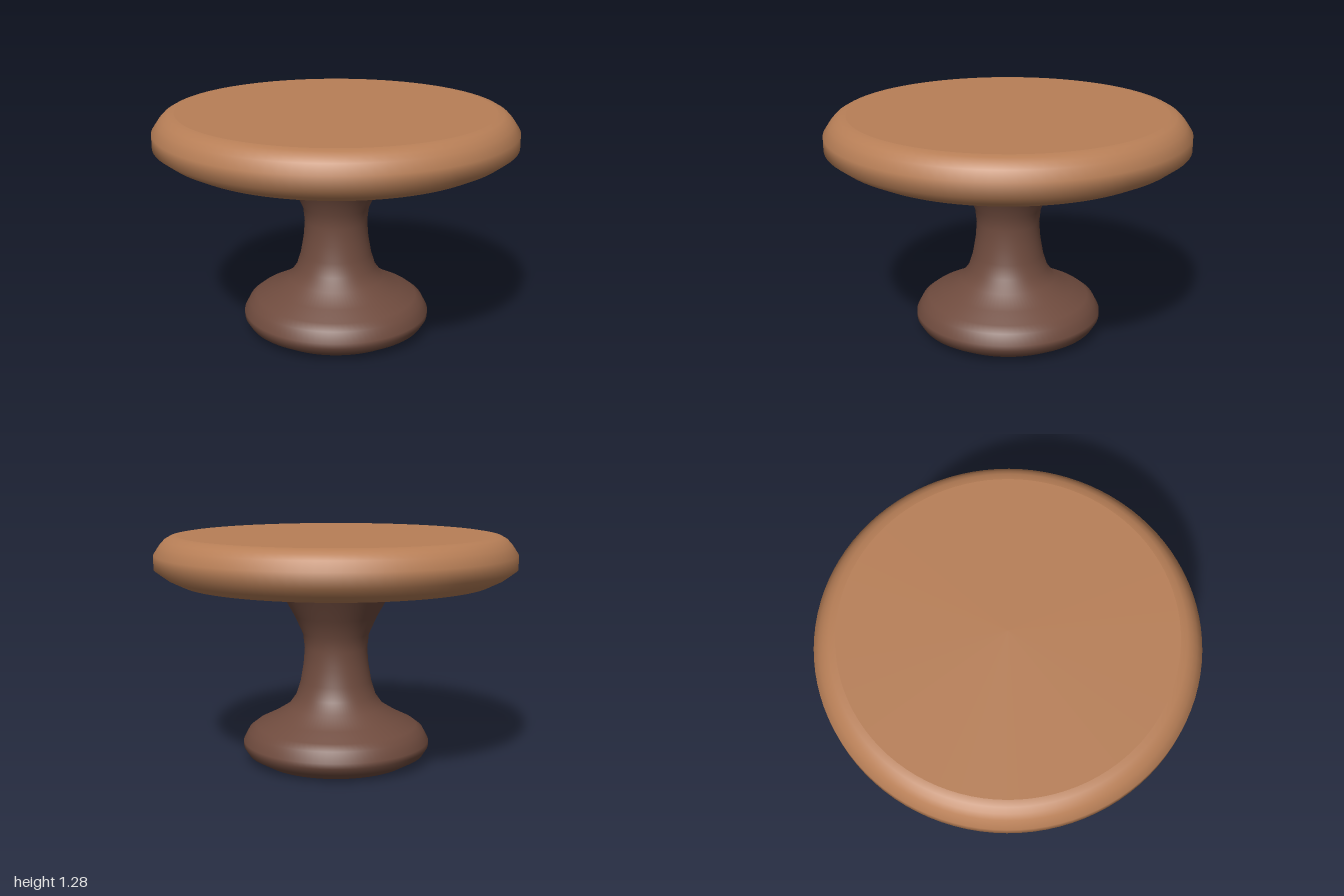
import * as THREE from 'three';

const SEGMENTS = 96;

// Revolve a bottom-to-top profile; each lathe is smooth, separate lathes meet in a crisp edge
function turned(name, profile, material) {
  const points = profile.map(([r, y]) => new THREE.Vector2(r, y));
  const mesh = new THREE.Mesh(new THREE.LatheGeometry(points, SEGMENTS), material);
  mesh.name = name;
  return mesh;
}

// Flat round face, looking up (1) or down (-1)
function disc(name, radius, y, facing, material) {
  const geometry = new THREE.CircleGeometry(radius, SEGMENTS);
  geometry.rotateX(-facing * Math.PI / 2);
  geometry.translate(0, y, 0);
  const mesh = new THREE.Mesh(geometry, material);
  mesh.name = name;
  return mesh;
}

export function createModel() {
  const lightWood = new THREE.MeshStandardMaterial({ name: 'lightWood', color: 0xb87f57 });
  const darkWood = new THREE.MeshStandardMaterial({ name: 'darkWood', color: 0x6f4b3e });

  // Thick round top with a softened rim
  const tableTop = new THREE.Group();
  tableTop.name = 'tableTop';
  tableTop.add(
    disc('topUnderside', 0.86, 1.016, -1, lightWood),
    turned('topRim', [
      [0.86, 1.016], [0.935, 1.052], [1, 1.1], [1, 1.176],
      [0.965, 1.228], [0.94, 1.255], [0.91, 1.272], [0.875, 1.278],
    ], lightWood),
    disc('topSurface', 0.875, 1.278, 1, lightWood),
  );

  // Turned pedestal: bulging foot, slim waist and flared neck
  const pedestal = new THREE.Group();
  pedestal.name = 'pedestal';
  pedestal.add(
    disc('footUnderside', 0.42, 0, -1, darkWood),
    turned('column', [
      [0.42, 0], [0.5, 0.045], [0.525, 0.085], [0.525, 0.115], [0.495, 0.172],
      [0.455, 0.203], [0.37, 0.245], [0.27, 0.307], [0.225, 0.37], [0.2, 0.45],
      [0.183, 0.55], [0.176, 0.64], [0.185, 0.72], [0.23, 0.82], [0.3, 0.945],
    ], darkWood),
    turned('collarUnderside', [[0.29, 0.945], [0.315, 0.945]], darkWood),
    turned('collar', [
      [0.315, 0.945], [0.343, 0.963], [0.343, 0.995], [0.365, 1.016],
    ], darkWood),
  );

  const table = new THREE.Group();
  table.name = 'pedestalTable';
  table.add(tableTop, pedestal);
  return table;
}
